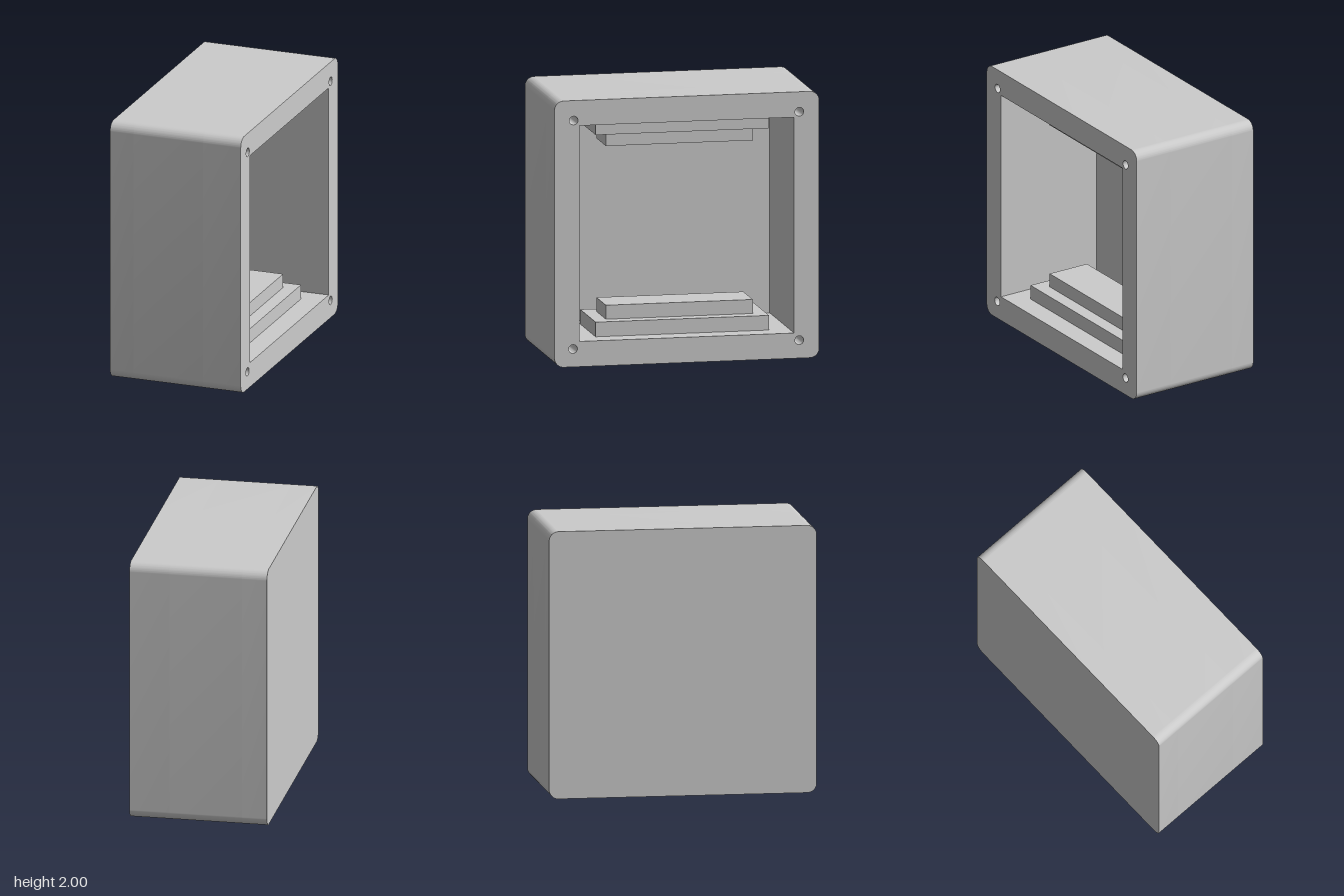
import * as THREE from 'three';
import { toCreasedNormals } from 'three/addons/utils/BufferGeometryUtils.js';

const HALF = 0.517;      // half the depth of the box along x
const FLOOR = -0.33;     // inner face of the closed wall
const HOLE_DEPTH = 0.3;  // blind screw holes
const material = new THREE.MeshStandardMaterial({ color: 0xcccccc });

// Square outline with rounded corners, standing on y = 0
function outline() {
  const r = 0.07, s = new THREE.Shape();
  s.absarc(1 - r, r, r, -Math.PI / 2, 0);
  s.absarc(1 - r, 2 - r, r, 0, Math.PI / 2);
  s.absarc(r - 1, 2 - r, r, Math.PI / 2, Math.PI);
  s.absarc(r - 1, r, r, Math.PI, Math.PI * 1.5);
  s.closePath();
  return s;
}

function opening() {
  const a = 0.81;
  return new THREE.Path([[-a, 0.19], [-a, 1.81], [a, 1.81], [a, 0.19]]
    .map(([x, y]) => new THREE.Vector2(x, y)));
}

// Extrudes a profile from x0 to x1 along the x axis
function slab(name, shape, x0, x1) {
  const flat = new THREE.ExtrudeGeometry(shape, { depth: x1 - x0, bevelEnabled: false, curveSegments: 10 });
  const geometry = toCreasedNormals(flat, 0.6);
  geometry.rotateY(Math.PI / 2).translate(x0, 0, 0);
  const mesh = new THREE.Mesh(geometry, material);
  mesh.name = name;
  return mesh;
}

export function createModel() {
  const group = new THREE.Group();
  group.name = 'openEnclosure';

  // Closed wall, side walls, and the rim with its screw holes
  const walls = outline();
  walls.holes.push(opening());
  const rim = outline();
  rim.holes.push(opening());
  for (const [x, y] of [[-0.86, 0.135], [0.85, 0.135], [-0.855, 1.85], [0.85, 1.85]]) {
    rim.holes.push(new THREE.Path().absarc(x, y, 0.033, 0, Math.PI * 2, true));
  }
  group.add(
    slab('closedWall', outline(), -HALF, FLOOR),
    slab('sideWalls', walls, FLOOR, HALF - HOLE_DEPTH),
    slab('rim', rim, HALF - HOLE_DEPTH, HALF),
  );

  // Two-tier stepped blocks on the floor and ceiling of the cavity
  const tiers = [
    { name: 'wideStep', y0: 0.19, y1: 0.30, depth: 0.535, width: 1.31 },
    { name: 'narrowStep', y0: 0.30, y1: 0.405, depth: 0.33, width: 1.11 },
  ];
  for (const [place, flip] of [['lower', false], ['upper', true]]) {
    for (const t of tiers) {
      const step = new THREE.Mesh(new THREE.BoxGeometry(t.depth, t.y1 - t.y0, t.width), material);
      const y = (t.y0 + t.y1) / 2;
      step.position.set(0.09, flip ? 2.01 - y : y, 0);
      if (flip) step.position.y = 2 - y + 0.005;
      step.name = `${place}-${t.name}`;
      group.add(step);
    }
  }
  return group;
}
